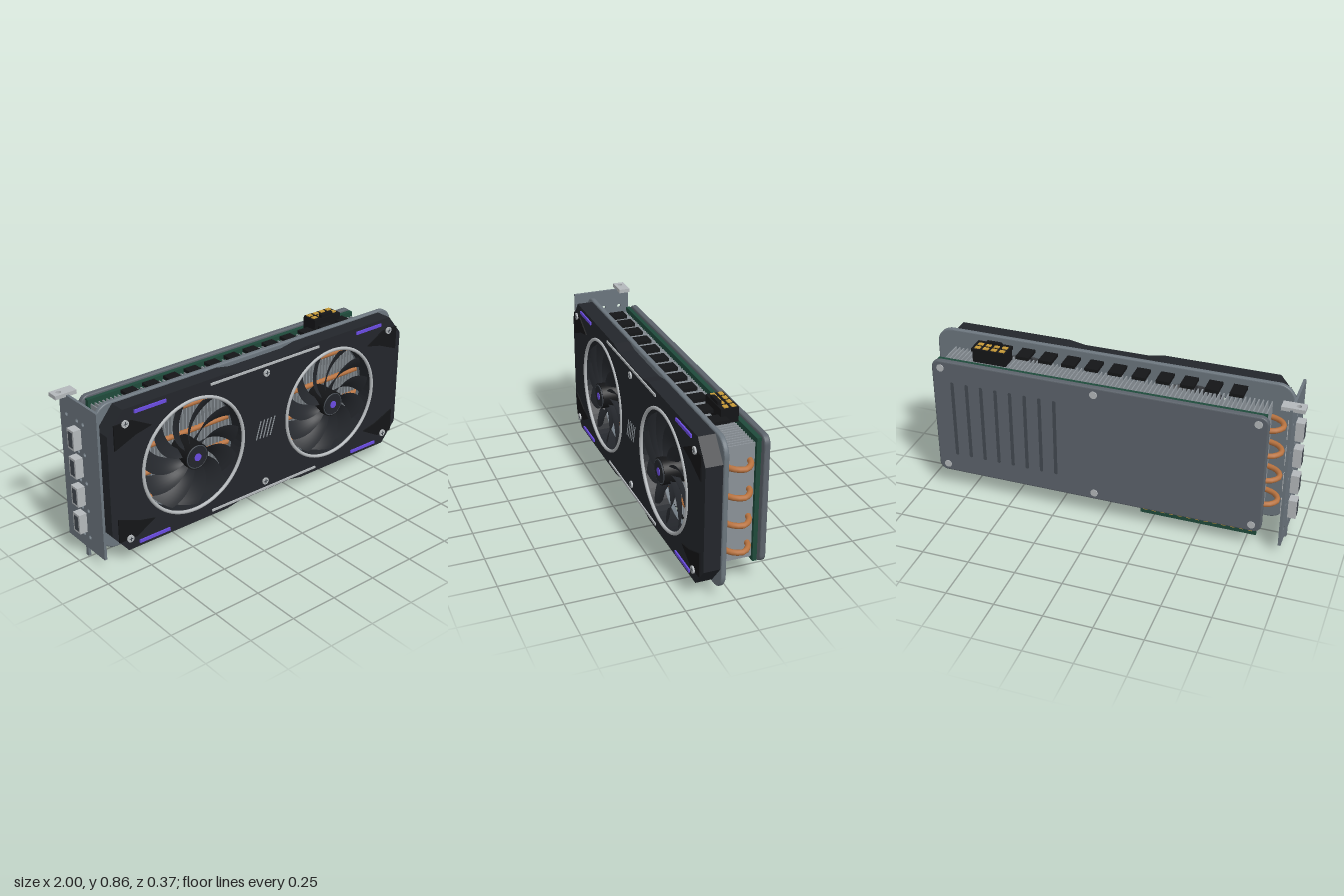
import * as THREE from 'three';

const mat = (color, side = THREE.FrontSide) => new THREE.MeshStandardMaterial({ color, side });
const M = {
  shroud: mat(0x23262b), black: mat(0x141517), frame: mat(0x6b757d), back: mat(0x5c636b),
  steel: mat(0x6b757d), silver: mat(0xb4b8bb), fin: mat(0x8b9298), pcb: mat(0x1f4a3b),
  copper: mat(0xb87340), gold: mat(0xc79a38), purple: mat(0x6a4be0), groove: mat(0x434950),
  blade: mat(0x25282d, THREE.DoubleSide),
};
const MID = 0.445, CX = 0.04;          // height of the fan axes, middle of the cooler
const FANS = [-0.41, 0.485];

function add(parent, name, geo, material, x = 0, y = 0, z = 0) {
  const m = new THREE.Mesh(geo, material);
  m.name = name;
  m.position.set(x, y, z);
  parent.add(m);
  return m;
}
// box given by its extents
function box(parent, name, material, x0, x1, y0, y1, z0, z1) {
  return add(parent, name, new THREE.BoxGeometry(x1 - x0, y1 - y0, z1 - z0), material,
    (x0 + x1) / 2, (y0 + y1) / 2, (z0 + z1) / 2);
}
// cylinder lying along z
function disc(parent, name, material, r, x, y, z0, z1, seg = 32) {
  const g = new THREE.CylinderGeometry(r, r, z1 - z0, seg).rotateX(Math.PI / 2);
  return add(parent, name, g, material, x, y, (z0 + z1) / 2);
}
const poly = (pts) => new THREE.Shape(pts.map(([x, y]) => new THREE.Vector2(x, y)));
function roundRect(x0, x1, y0, y1, r) {
  const s = new THREE.Shape();
  s.absarc(x1 - r, y0 + r, r, -Math.PI / 2, 0);
  s.absarc(x1 - r, y1 - r, r, 0, Math.PI / 2);
  s.absarc(x0 + r, y1 - r, r, Math.PI / 2, Math.PI);
  s.absarc(x0 + r, y0 + r, r, Math.PI, Math.PI * 1.5);
  s.closePath();
  return s;
}
const hole = (shape, x, y, r) => shape.holes.push(new THREE.Path().absarc(x, y, r, 0, Math.PI * 2, true));
// flat plate between z0 and z1; the bevel grows outwards from the shape
function plate(parent, name, shape, material, z0, z1, bevel = 0) {
  const g = new THREE.ExtrudeGeometry(shape, {
    depth: z1 - z0 - 2 * bevel, bevelEnabled: bevel > 0, bevelSize: bevel,
    bevelThickness: bevel, bevelSegments: 3, curveSegments: 28,
  });
  return add(parent, name, g, material, 0, 0, z0 + bevel);
}

// one swept, pitched blade built from radial sections
function bladeGeometry() {
  const N = 12, K = 6, pos = [], idx = [];
  for (let i = 0; i <= N; i++) {
    const t = i / N, r = 0.06 + t * 0.226;
    const centre = -0.55 * Math.pow(t, 1.3), half = 0.2 + 0.03 * Math.sin(t * Math.PI);
    for (let k = 0; k <= K; k++) {
      const u = k / K * 2 - 1, a = centre + u * half;
      pos.push(r * Math.cos(a), r * Math.sin(a), u * 0.026 + 0.006 * (1 - u * u));
    }
  }
  for (let i = 0; i < N; i++) for (let k = 0; k < K; k++) {
    const a = i * (K + 1) + k, b = a + K + 1;
    idx.push(a, b, a + 1, b, b + 1, a + 1);
  }
  const g = new THREE.BufferGeometry();
  g.setAttribute('position', new THREE.Float32BufferAttribute(pos, 3));
  g.setIndex(idx);
  g.computeVertexNormals();
  return g;
}

function makeFan(x) {
  const fan = new THREE.Group();
  fan.name = 'fan';
  fan.position.set(x, MID, 0);
  const blade = bladeGeometry();
  for (let i = 0; i < 11; i++) add(fan, 'fanBlade', blade, M.blade, 0, 0, 0.125).rotation.z = i * Math.PI * 2 / 11;
  disc(fan, 'fanHub', M.black, 0.068, 0, 0, 0.05, 0.178, 40);
  disc(fan, 'hubCap', M.shroud, 0.056, 0, 0, 0.178, 0.183, 40);
  add(fan, 'hubRing', new THREE.TorusGeometry(0.06, 0.003, 8, 40), M.groove, 0, 0, 0.179);
  disc(fan, 'hubDot', M.purple, 0.02, 0, 0, 0.183, 0.186, 24);
  add(fan, 'fanRing', new THREE.TorusGeometry(0.304, 0.009, 10, 72), M.silver, 0, 0, 0.16);
  return fan;
}

function makeScrew(x, y, z, dir) {
  const s = new THREE.Group();
  s.name = 'screw';
  disc(s, 'screwHead', M.silver, 0.019, 0, 0, 0, 0.008, 20);
  for (const a of [0, 1]) box(s, 'screwSlot', M.groove, -0.012, 0.012, -0.002, 0.002, 0.007, 0.009).rotation.z = a * Math.PI / 2;
  s.position.set(x, y, z);
  if (dir < 0) s.rotation.y = Math.PI;
  return s;
}

export function createModel() {
  const g = new THREE.Group();
  g.name = 'graphicsCard';

  // grey frame behind the shroud
  const frame = roundRect(-0.907, 0.987, 0.058, 0.827, 0.08);
  FANS.forEach((x) => hole(frame, x, MID, 0.31));
  plate(g, 'frame', frame, M.frame, 0.05, 0.076, 0.008);

  // dark shroud: chamfered corners, shallow notch in the long edges
  const half = [[0.17, 0.365], [0.25, 0.38], [0.855, 0.38], [0.945, 0.27]];
  const upper = [...half].reverse().concat(half.map(([x, y]) => [-x, y]));
  const outline = upper.concat([...upper].reverse().map(([x, y]) => [x, -y]));
  const shroud = poly(outline.map(([x, y]) => [x + CX, y + MID]));
  FANS.forEach((x) => hole(shroud, x, MID, 0.302));
  plate(g, 'shroud', shroud, M.shroud, 0.074, 0.16);

  // mirrored trim on the shroud face
  const corner = [[0.91, 0.315], [0.81, 0.315], [0.70, 0.255], [0.79, 0.235], [0.91, 0.185]];
  for (const sy of [-1, 1]) {
    const y = MID + sy * 0.353;
    box(g, 'silverStrip', M.silver, -0.31, 0.39, y - 0.006, y + 0.006, 0.158, 0.166);
    for (const sx of [-1, 1]) {
      plate(g, 'cornerPlate', poly(corner.map(([x, yy]) => [CX + sx * x, MID + sy * yy])), M.black, 0.158, 0.167);
      const px = CX + sx * 0.703;
      box(g, 'accentStrip', M.purple, px - 0.09, px + 0.09, y - 0.008, y + 0.008, 0.155, 0.168);
    }
    for (const x of [-0.81, CX, 0.885]) g.add(makeScrew(x, MID + sy * 0.31, x === CX ? 0.16 : 0.167, 1));
  }
  // slanted vent lines between the fans
  for (let i = 0; i < 5; i++) {
    const x = -0.025 + i * 0.023;
    plate(g, 'ventLine', poly([[x, 0.395], [x + 0.006, 0.395], [x + 0.036, 0.495], [x + 0.03, 0.495]]), M.fin, 0.158, 0.163);
  }
  FANS.forEach((x) => g.add(makeFan(x)));

  // heatsink fins
  for (let i = 0; i < 78; i++) {
    const x = -0.805 + i * 1.69 / 77;
    box(g, 'fin', M.fin, x - 0.003, x + 0.003, 0.142, 0.742, -0.122, 0.038);
  }
  // heat pipes looping around the fins
  const loop = [[-0.72, 0.036], [-0.81, 0.034], [-0.865, 0.005], [-0.885, -0.045], [-0.85, -0.09], [-0.78, -0.1],
    [0, -0.1], [0.86, -0.1], [0.92, -0.09], [0.962, -0.045], [0.935, 0.01], [0.88, 0.03], [0.78, 0.036], [0, 0.036]];
  for (const y of [0.225, 0.368, 0.512, 0.657]) {
    const path = new THREE.CatmullRomCurve3(loop.map(([x, z]) => new THREE.Vector3(x, y, z)), true);
    add(g, 'heatPipe', new THREE.TubeGeometry(path, 160, 0.014, 12, true), M.copper);
  }
  // black blocks along the upper and lower edge
  for (let i = 0; i < 12; i++) for (const y of [0.085, 0.785]) {
    const x = -0.645 + i * 0.124;
    box(g, 'edgeBlock', M.black, x - 0.035, x + 0.035, y, y + 0.017, -0.055, 0.04);
  }

  // circuit board with edge connector
  box(g, 'circuitBoard', M.pcb, -0.82, 0.9, 0.12, 0.765, -0.147, -0.125);
  box(g, 'edgeConnector', M.pcb, -0.81, -0.2, 0.065, 0.125, -0.149, -0.137);
  for (let i = 0; i < 13; i++) {
    const x = -0.78 + i * 0.046;
    box(g, 'contact', M.gold, x - 0.011, x + 0.011, 0.088, 0.118, -0.154, -0.132);
  }

  // backplate with pressed slots and screws
  plate(g, 'backplate', roundRect(-0.832, 0.912, 0.118, 0.767, 0.035), M.back, -0.184, -0.153, 0.008);
  for (let i = 0; i < 8; i++) {
    const x = 0.25 + i * 0.08;
    plate(g, 'backSlot', roundRect(x - 0.009, x + 0.009, 0.22, 0.66, 0.0085), M.groove, -0.186, -0.18);
  }
  for (const x of [-0.79, CX, 0.87]) for (const y of [0.15, 0.735])
    disc(g, 'backScrew', M.silver, 0.02, x, y, -0.188, -0.18, 20);

  // power socket
  const socket = new THREE.Group();
  socket.name = 'powerSocket';
  g.add(socket);
  box(socket, 'socketBody', M.black, 0.535, 0.715, 0.765, 0.838, -0.118, -0.03);
  box(socket, 'socketClip', M.black, 0.585, 0.665, 0.835, 0.855, -0.053, -0.034);
  for (let i = 0; i < 4; i++) for (const z of [-0.098, -0.06]) {
    const x = 0.558 + i * 0.0445;
    box(socket, 'pin', M.gold, x - 0.014, x + 0.014, 0.83, 0.843, z - 0.011, z + 0.011);
  }

  // mounting bracket: drawn in (z, y), then turned to face -x
  const bracket = new THREE.Group();
  bracket.name = 'bracket';
  g.add(bracket);
  const face = poly([[-0.14, 0.05], [0.175, 0.05], [0.175, 0.835], [-0.14, 0.835]]);
  const portY = [0.195, 0.345, 0.5, 0.65];
  for (const y of [0.12, 0.27, 0.422, 0.575, 0.735]) for (const u of [-0.02, 0.03, 0.12]) hole(face, u, y, 0.011);
  const sheet = plate(bracket, 'bracketPlate', face, M.steel, 0, 0.014);
  sheet.rotation.y = Math.PI / 2;
  sheet.position.set(-0.943, 0, 0);
  box(bracket, 'bracketFoot', M.steel, -0.943, -0.929, 0, 0.055, -0.025, -0.005);
  const tab = poly([[-1, 0.11], [-0.885, 0.11], [-0.885, 0.17], [-1, 0.17]]);
  hole(tab, -0.965, 0.14, 0.013);
  const lip = plate(bracket, 'bracketTab', tab, M.silver, 0, 0.02);
  lip.rotation.x = -Math.PI / 2;
  lip.position.set(0, 0.826, 0);
  for (const y of portY) {
    box(bracket, 'port', M.silver, -0.985, -0.905, y - 0.052, y + 0.052, -0.055, 0);
    box(bracket, 'portOpening', M.groove, -0.987, -0.98, y - 0.04, y + 0.04, -0.044, -0.011);
  }
  return g;
}
